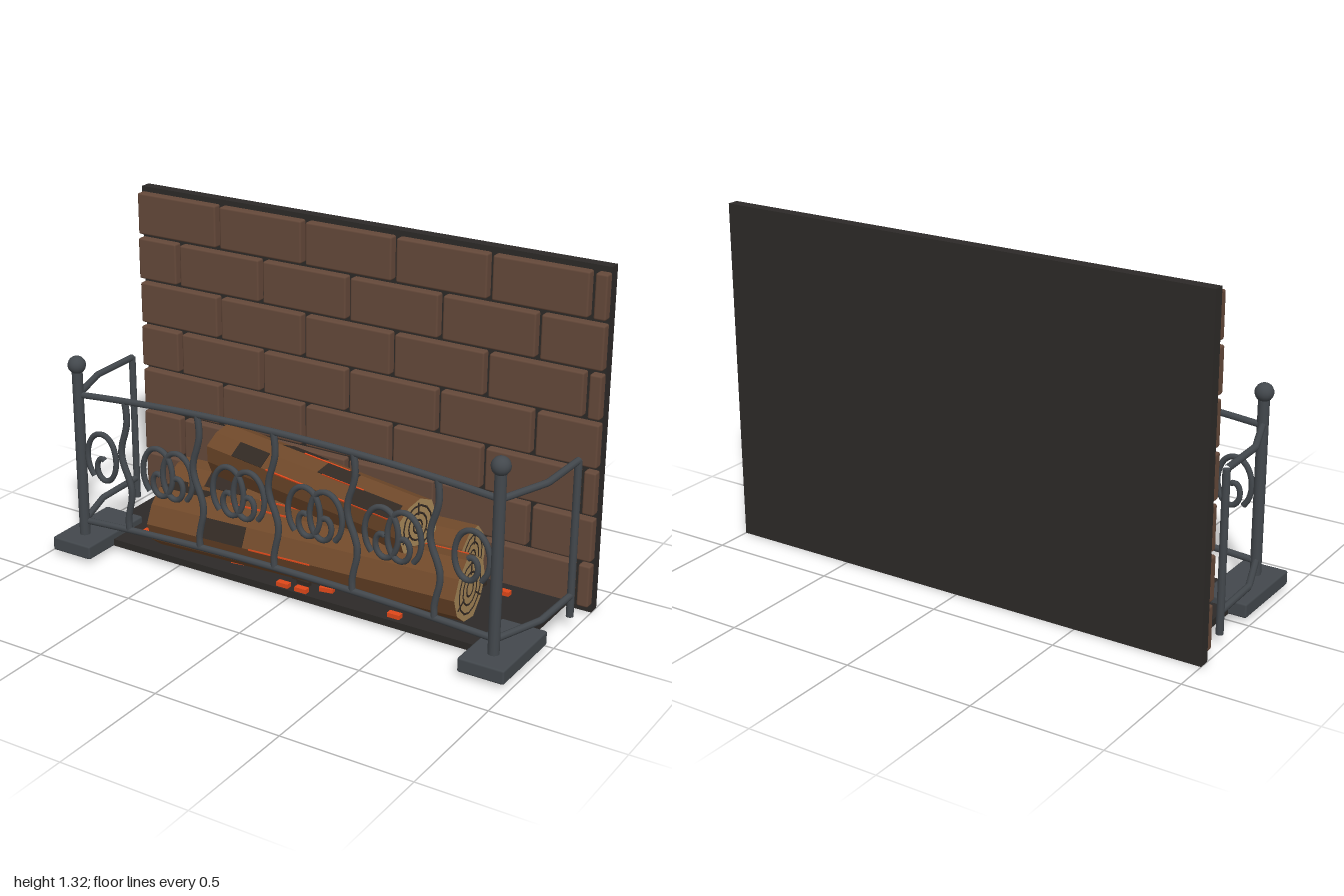
import * as THREE from 'three';
import { RoundedBoxGeometry } from 'three/addons/geometries/RoundedBoxGeometry.js';

const mat = (color, flatShading = false) => {
  const m = new THREE.MeshStandardMaterial({ color });
  m.flatShading = flatShading;
  return m;
};
const V = (x, y, z) => new THREE.Vector3(x, y, z);

export function createModel() {
  const root = new THREE.Group();
  const slab = mat(0x2d2a28), brick = mat(0x65493a), iron = mat(0x43484d);
  const bark = mat(0x70492a, true), endWood = mat(0xa58556, true), char = mat(0x332a24), ember = mat(0xe0481a);

  const group = (name, parent = root) => {
    const g = new THREE.Group();
    g.name = name;
    parent.add(g);
    return g;
  };
  const add = (parent, name, geo, material, x = 0, y = 0, z = 0) => {
    const m = new THREE.Mesh(geo, material);
    m.name = name;
    m.position.set(x, y, z);
    parent.add(m);
    return m;
  };
  const box = (parent, name, material, w, h, d, x, y, z) =>
    add(parent, name, new THREE.BoxGeometry(w, h, d), material, x, y, z);
  const tube = (parent, name, pts, r, seg = 24, straight = false) => {
    let path = new THREE.CatmullRomCurve3(pts);
    if (straight) {
      path = new THREE.CurvePath();
      for (let i = 1; i < pts.length; i++) path.add(new THREE.LineCurve3(pts[i - 1], pts[i]));
    }
    return add(parent, name, new THREE.TubeGeometry(path, seg, r, 8), iron);
  };

  // Back wall and hearth floor
  box(root, 'backWall', slab, 2, 1.32, 0.044, 0, 0.66, -0.338);
  box(root, 'hearthFloor', slab, 1.82, 0.028, 0.52, 0, 0.03, -0.06);

  // Running-bond bricks, clipped at the wall edges
  const bricks = group('bricks');
  const pitch = 0.39, gap = 0.02;
  for (let row = 0; row < 7; row++) {
    const y = 1.217 - row * 0.1835;
    const first = row % 2 ? -0.81 : -0.617;
    for (let k = 0; k < 6; k++) {
      const x0 = Math.max(-1, first + (k - 1) * pitch + gap / 2);
      const x1 = Math.min(1, first + k * pitch - gap / 2);
      if (x1 - x0 < 0.02) continue;
      add(bricks, 'brick', new RoundedBoxGeometry(x1 - x0, 0.167, 0.042, 1, 0.008), brick, (x0 + x1) / 2, y, -0.3);
    }
  }

  // Iron fender: feet, posts, side rails (mirrored)
  const fender = group('fender');
  const postX = 0.893, postZ = 0.26;
  for (const s of [-1, 1]) {
    add(fender, 'foot', new RoundedBoxGeometry(0.18, 0.056, 0.34, 1, 0.008), iron, s * 0.89, 0.043, 0.183);
    add(fender, 'post', new THREE.CylinderGeometry(0.021, 0.021, 0.69, 12), iron, s * postX, 0.405, postZ);
    add(fender, 'finial', new THREE.SphereGeometry(0.035, 16, 12), iron, s * postX, 0.772, postZ);
    add(fender, 'rearUpright', new THREE.CylinderGeometry(0.014, 0.014, 0.61, 10), iron, s * 0.975, 0.345, -0.18);
    for (const y of [0.65, 0.125])
      tube(fender, 'sideRail', [V(s * postX, y, postZ), V(s * 0.968, y, 0.05), V(s * 0.975, y, -0.18)], 0.013, 32, true);
  }

  // Arched front rails
  const arch = (x, base, rise) => base + rise * (1 - (x / postX) ** 2);
  const topY = x => arch(x, 0.65, 0.042), lowY = x => arch(x, 0.125, 0.03);
  for (const [name, f] of [['topRail', topY], ['bottomRail', lowY]]) {
    const pts = [];
    for (let i = 0; i <= 12; i++) {
      const x = postX * (i / 6 - 1);
      pts.push(V(x, f(x), 0.255));
    }
    tube(fender, name, pts, 0.013, 32);
  }

  // Wavy balusters
  for (let b = -2; b <= 2; b++) {
    const x = b * 0.333, pts = [];
    for (let i = 0; i <= 12; i++) {
      const t = i / 12;
      const y = THREE.MathUtils.lerp(lowY(x), topY(x), t);
      pts.push(V(x - 0.01 + 0.025 * Math.sin(t * Math.PI * 3 - 1) * Math.sin(t * Math.PI), y, 0.255));
    }
    tube(fender, 'baluster', pts, 0.013, 32);
  }

  // Inward-curling scrolls; dir mirrors the curl
  const scroll = (cx, dir) => {
    const pts = [];
    for (let i = 0; i <= 28; i++) {
      const t = i / 28, a = THREE.MathUtils.degToRad(235 - 510 * t);
      const k = 1 - 0.75 * Math.max(0, (t - 0.35) / 0.65);
      pts.push(V(cx + dir * (0.07 * k * Math.cos(a) + 0.012 * t), 0.415 + 0.105 * k * Math.sin(a) - 0.04 * t, 0.255));
    }
    tube(fender, 'scroll', pts, 0.011, 56);
  };
  for (const s of [-1, 1]) {
    scroll(s * 0.795, -s);
    for (const cx of [0.165, 0.485]) {
      scroll(s * cx - 0.045, 1);
      scroll(s * cx + 0.045, -1);
    }
  }

  // Logs: ten-sided, slightly irregular, with growth rings, charred patches and glowing cracks
  const SIDES = 10;
  const makeLog = (name, a, b, r, seed, patches) => {
    const log = group(name);
    const dir = b.clone().sub(a), len = dir.length();
    log.position.copy(a).add(b).multiplyScalar(0.5);
    log.quaternion.setFromUnitVectors(V(0, 1, 0), dir.normalize());
    const radius = i => r * (1 + 0.05 * Math.sin(seed + (i % SIDES) * 2.4));
    const corner = i => {
      const t = i / SIDES * Math.PI * 2;
      return V(Math.sin(t) * radius(i), 0, Math.cos(t) * radius(i));
    };
    const geo = new THREE.CylinderGeometry(r, r, len, SIDES, 1);
    const p = geo.attributes.position;
    for (let i = 0; i < p.count; i++) {
      if (Math.hypot(p.getX(i), p.getZ(i)) < r / 2) continue;
      const c = corner((Math.round(Math.atan2(p.getX(i), p.getZ(i)) / Math.PI * SIDES / 2) + SIDES) % SIDES);
      p.setXYZ(i, c.x, p.getY(i), c.z);
    }
    add(log, 'bark', geo, [bark, endWood, endWood]);

    for (const s of [-1, 1]) {
      for (const k of [0.24, 0.5, 0.77]) {
        const ring = add(log, 'growthRing', new THREE.TorusGeometry(r * k, 0.004, 4, 14), char, 0, s * len / 2, 0);
        ring.rotation.x = Math.PI / 2;
        ring.scale.set(1, 0.92, 0.6);
      }
      for (let c = 0; c < 3; c++) {
        const t = seed + c * 2.1;
        const crack = box(log, 'endCrack', char, r * 0.45, 0.005, 0.006, Math.cos(t) * r * 0.65, s * len / 2, -Math.sin(t) * r * 0.65);
        crack.rotation.y = t;
      }
    }
    // Each patch: facet index, position along the log (-0.5..0.5), length
    for (const [f, at, l] of patches) {
      const c0 = corner(f), c1 = corner(f + 1), d = c1.clone().sub(c0);
      const m = c0.clone().add(c1).multiplyScalar(0.5);
      const patch = box(log, 'charPatch', char, d.length(), l, 0.005, m.x, at * len, m.z);
      patch.rotation.y = Math.atan2(-d.z, d.x);
      box(log, 'glowingCrack', ember, 0.005, l * 1.3, 0.006, c1.x, (at * 0.6 + 0.1) * len, c1.z);
    }
  };
  makeLog('frontLog', V(-0.59, 0.183, 0.135), V(0.7, 0.187, 0.075), 0.124, 1, [[9, -0.25, 0.2], [7, -0.42, 0.2], [6, 0.38, 0.3], [2, 0.1, 0.2]]);
  makeLog('backLog', V(-0.7, 0.175, -0.12), V(0.58, 0.175, -0.172), 0.115, 3, [[7, 0.02, 0.26], [8, -0.3, 0.18], [9, -0.46, 0.08]]);
  makeLog('topLog', V(-0.485, 0.38, -0.125), V(0.49, 0.38, 0.085), 0.105, 5, [[8, -0.28, 0.16], [7, 0.13, 0.16], [8, 0.36, 0.22], [6, -0.1, 0.18]]);

  // Embers and coals on the hearth
  const coals = group('embers');
  for (let i = 0; i < 16; i++) {
    const x = 0.62 * Math.sin(i * 2.3), z = -0.05 + 0.18 * Math.sin(i * 1.7 + 1);
    const c = box(coals, i % 3 ? 'ember' : 'coal', i % 3 ? ember : char, 0.055, 0.018, 0.022, x, 0.052, z);
    c.rotation.y = 0.2 * Math.sin(i * 5);
  }
  for (const [x, z] of [[-0.71, 0.085], [0.7, -0.2], [-0.02, 0.18], [0.06, 0.18], [0.45, 0.17]])
    box(coals, 'ember', ember, 0.05, 0.018, 0.025, x, 0.052, z);

  return root;
}
